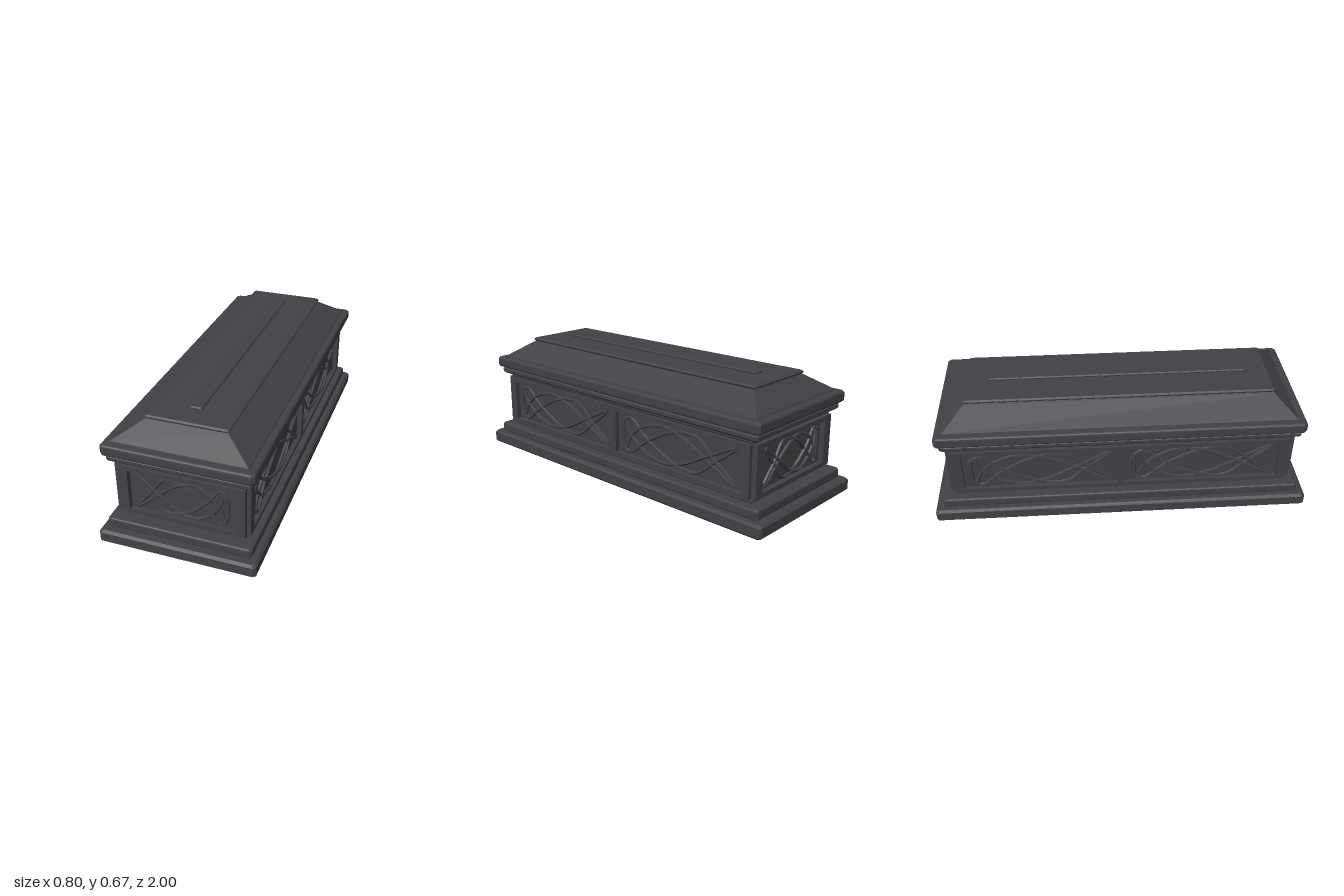
import * as THREE from 'three';

// Closed loft through rectangular rings [halfX, halfZ, y], vertical corners cut by c
function loft(rings, c) {
  const pts = rings.map(([x, z, y]) => [
    [x, c - z], [x, z - c], [x - c, z], [c - x, z],
    [-x, z - c], [-x, c - z], [c - x, -z], [x - c, -z],
  ].map(([px, pz]) => [px, y, pz]));
  const out = [];
  const tri = (...v) => v.forEach((p) => out.push(...p));
  const top = pts[pts.length - 1];
  for (let i = 0; i < 8; i++) {
    const j = (i + 1) % 8;
    for (let r = 0; r < pts.length - 1; r++) {
      const a = pts[r], b = pts[r + 1];
      tri(a[i], b[i], a[j]);
      tri(b[i], b[j], a[j]);
    }
    tri([0, top[0][1], 0], top[j], top[i]);
    tri([0, pts[0][0][1], 0], pts[0][i], pts[0][j]);
  }
  const g = new THREE.BufferGeometry();
  g.setAttribute('position', new THREE.Float32BufferAttribute(out, 3));
  g.computeVertexNormals();
  return g;
}

// Slab with edges rounded by r in a number of steps (1 = plain chamfer)
function slab(hx, hz, y0, y1, r, steps = 1) {
  const rings = [];
  for (let i = 0; i <= steps; i++) {
    const a = (i / steps) * Math.PI / 2, d = r * (1 - Math.sin(a));
    rings.push([hx - d, hz - d, y0 + r * (1 - Math.cos(a))]);
  }
  const upper = rings.map(([x, z, y]) => [x, z, y0 + y1 - y]).reverse();
  return loft([...rings, ...upper], r);
}

const rect = (Target, x0, x1, y0, y1) => {
  const s = new Target();
  s.moveTo(x0, y0);
  s.lineTo(x1, y0);
  s.lineTo(x1, y1);
  s.lineTo(x0, y1);
  s.closePath();
  return s;
};

// Half of the interlaced strand (unit square); the other half mirrors it in y
const STRAND = [
  [1, 0], [0.98, 0.6], [0.84, 0.96], [0.55, 0.15], [0.1, -0.78], [-0.33, -0.97], [-0.66, -0.05],
  [-1, 1], [-0.9, 0.85], [-0.5, 0.05], [-0.05, -0.8], [0.3, -0.97], [0.62, -0.6], [0.85, 0.2], [0.93, 0.92],
  [0.96, 0.5],
];

function knot(cx, halfW, depth) {
  const mirrored = STRAND.slice(1).reverse().map(([x, y]) => [x, -y]);
  const path = [...STRAND, ...mirrored].map(([x, y], i) =>
    new THREE.Vector3(cx + x * halfW, 0.283 + y * 0.097, depth + (i % 2 ? 0.002 : -0.002)));
  return new THREE.TubeGeometry(new THREE.CatmullRomCurve3(path, true), 160, 0.009, 6, true);
}

export function createModel() {
  const root = new THREE.Group();
  const stone = new THREE.MeshStandardMaterial({ color: 0x424146, flatShading: true });
  stone.name = 'dark stone';
  const add = (parent, name, geometry) => {
    const m = new THREE.Mesh(geometry, stone);
    m.name = name;
    parent.add(m);
  };

  // Stepped base
  add(root, 'plinth', slab(0.4, 1, 0, 0.073, 0.012));
  add(root, 'baseMoulding', slab(0.368, 0.957, 0.073, 0.126, 0.012, 3));
  add(root, 'footing', slab(0.318, 0.89, 0.124, 0.148, 0.006));

  // Chest and cornice
  add(root, 'chest', slab(0.315, 0.885, 0.14, 0.43, 0.004));
  add(root, 'neck', slab(0.326, 0.892, 0.42, 0.446, 0.006));
  add(root, 'lowerCornice', slab(0.358, 0.935, 0.444, 0.48, 0.01));
  add(root, 'corniceGap', slab(0.342, 0.92, 0.476, 0.49, 0.003));
  add(root, 'upperCornice', slab(0.377, 0.955, 0.483, 0.543, 0.014, 3));

  // Hipped lid with slab and ridge
  add(root, 'lid', loft([[0.34, 0.915, 0.54], [0.338, 0.912, 0.548], [0.21, 0.806, 0.63], [0.2, 0.798, 0.636]], 0.002));
  add(root, 'lidSlab', slab(0.21, 0.808, 0.634, 0.653, 0.007));
  add(root, 'lidRidge', slab(0.031, 0.685, 0.65, 0.665, 0.005));

  // Recessed panels: a frame with openings [centre, halfWidth] and a knot in each
  function panelSide(name, angle, face, halfW, thickness, openings, flip) {
    const side = new THREE.Group();
    side.name = name;
    const shape = rect(THREE.Shape, -halfW, halfW, 0.15, 0.42);
    for (const [c, w] of openings) shape.holes.push(rect(THREE.Path, c - w, c + w, 0.172, 0.397));
    const frame = new THREE.ExtrudeGeometry(shape, { depth: thickness, bevelEnabled: false });
    frame.translate(0, 0, face);
    add(side, 'panelFrame', frame);
    for (const [c, w] of openings) add(side, 'interlacedKnot', knot(c, flip * (w - 0.032), face + 0.007));
    side.rotation.y = angle;
    root.add(side);
  }
  const pair = [[-0.428, 0.408], [0.428, 0.408]];
  for (const [i, end] of ['front', 'back'].entries()) {
    panelSide(end + 'Panel', i * Math.PI, 0.885, 0.32, 0.028, [[0, 0.265]], 1);
  }
  for (const [i, flank] of ['left', 'right'].entries()) {
    panelSide(flank + 'Panels', (i ? -1 : 1) * Math.PI / 2, 0.315, 0.886, 0.026, pair, -1);
  }
  return root;
}
